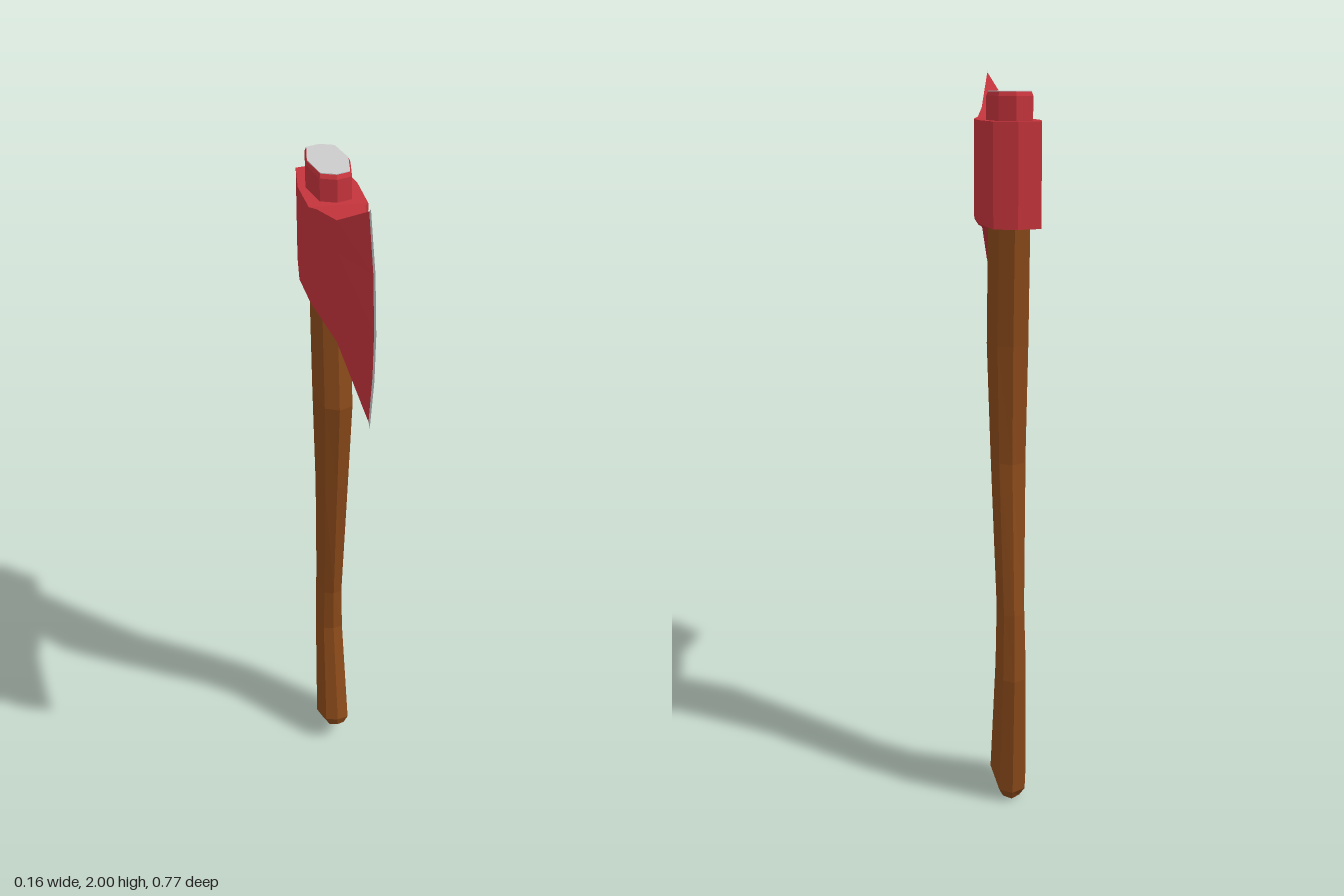
import * as THREE from 'three';

// Closed flat-shaded skin through rings of equal point count
function loft(name, color, rings) {
  const pos = [];
  let volume = 0;
  const tri = (a, b, c) => {
    const n = b.clone().sub(a).cross(c.clone().sub(a));
    if (n.length() < 1e-9) return;
    volume += a.dot(n);
    pos.push(...a.toArray(), ...b.toArray(), ...c.toArray());
  };
  const n = rings[0].length;
  for (let i = 0; i < rings.length - 1; i++) {
    for (let j = 0; j < n; j++) {
      const k = (j + 1) % n;
      const [a, b, c, d] = [rings[i][j], rings[i][k], rings[i + 1][k], rings[i + 1][j]];
      tri(a, b, c);
      tri(a, c, d);
    }
  }
  const last = rings[rings.length - 1];
  for (let j = 1; j < n - 1; j++) {
    tri(rings[0][0], rings[0][j + 1], rings[0][j]);
    tri(last[0], last[j], last[j + 1]);
  }
  // turn the faces outward
  if (volume < 0) {
    for (let i = 0; i < pos.length; i += 9) {
      for (let j = 0; j < 3; j++) {
        [pos[i + 3 + j], pos[i + 6 + j]] = [pos[i + 6 + j], pos[i + 3 + j]];
      }
    }
  }
  const geo = new THREE.BufferGeometry();
  geo.setAttribute('position', new THREE.Float32BufferAttribute(pos, 3));
  geo.computeVertexNormals();
  const mesh = new THREE.Mesh(geo, new THREE.MeshStandardMaterial({ color, flatShading: true }));
  mesh.name = name;
  return mesh;
}

// Eight-sided grip section between a front and a back point
const SECTION = [[0, 0], [0.7, 0.07], [1, 0.5], [0.7, 0.93], [0, 1], [-0.7, 0.93], [-1, 0.5], [-0.7, 0.07]];
const gripRing = ([yFront, zFront, yBack, zBack, w]) => SECTION.map(([x, t]) =>
  new THREE.Vector3(x * w, yFront + (yBack - yFront) * t, zFront + (zBack - zFront) * t));

// Mirrored ring from one side's points [x, y, z], listed bottom to top
const mirrorRing = (side) => [
  ...side.map(([x, y, z]) => new THREE.Vector3(x, y, z)),
  ...side.slice().reverse().map(([x, y, z]) => new THREE.Vector3(-x, y, z)),
];

export function createModel() {
  const group = new THREE.Group();
  group.name = 'axe';
  const RED = 0xc4343c, WOOD = 0x8b4a1a, GREY = 0xcccccc;

  // Curved handle: yFront, zFront, yBack, zBack, half width
  group.add(loft('handle', WOOD, [
    [1.70, -0.10, 1.70, -0.332, 0.055],
    [1.28, -0.06, 1.30, -0.297, 0.056],
    [1.00, -0.10, 0.98, -0.285, 0.048],
    [0.57, -0.165, 0.57, -0.333, 0.038],
    [0.43, -0.17, 0.38, -0.34, 0.042],
    [0.10, -0.105, 0.03, -0.307, 0.051],
    [0.07, -0.115, 0, -0.285, 0.033],
  ].map(gripRing)));

  // Handle end standing out of the head, with its pale top
  group.add(loft('handleTop', RED, [
    [1.75, -0.087, 1.75, -0.345, 0.06],
    [1.93, -0.087, 1.93, -0.345, 0.06],
    [1.94, -0.094, 1.94, -0.34, 0.056],
  ].map(gripRing)));
  group.add(loft('handleTopCap', GREY, [
    [1.935, -0.096, 1.935, -0.338, 0.055],
    [1.942, -0.096, 1.942, -0.338, 0.055],
  ].map(gripRing)));

  // Head stations from poll to blade: z, half width, bottom, top
  const levels = [0, 0.28, 0.5, 0.75, 1];
  const stations = [
    [-0.385, 0, 1.61, 1.87],
    [-0.37, 0.06, 1.61, 1.87],
    [-0.22, 0.08, 1.61, 1.87],
    [-0.07, 0.077, 1.61, 1.87],
    [-0.04, 0.063, 1.59, 1.875],
    [0.10, 0.038, 1.57, 1.897],
  ].map(([z, w, low, high]) => mirrorRing(levels.map((t) => [w, low + (high - low) * t, z])));

  // Curved cutting edge: a red shoulder and the bare tip
  const shoulder = mirrorRing([
    [0.001, 1.452, 0.314], [0.002, 1.60, 0.357], [0.002, 1.72, 0.368], [0.002, 1.86, 0.352], [0.001, 1.99, 0.297],
  ]);
  const tip = mirrorRing([
    [0, 1.44, 0.325], [0, 1.595, 0.37], [0, 1.72, 0.383], [0, 1.865, 0.366], [0, 2.0, 0.31],
  ]);
  group.add(loft('head', RED, [...stations, shoulder]));
  group.add(loft('cuttingEdge', GREY, [shoulder, tip]));
  return group;
}
